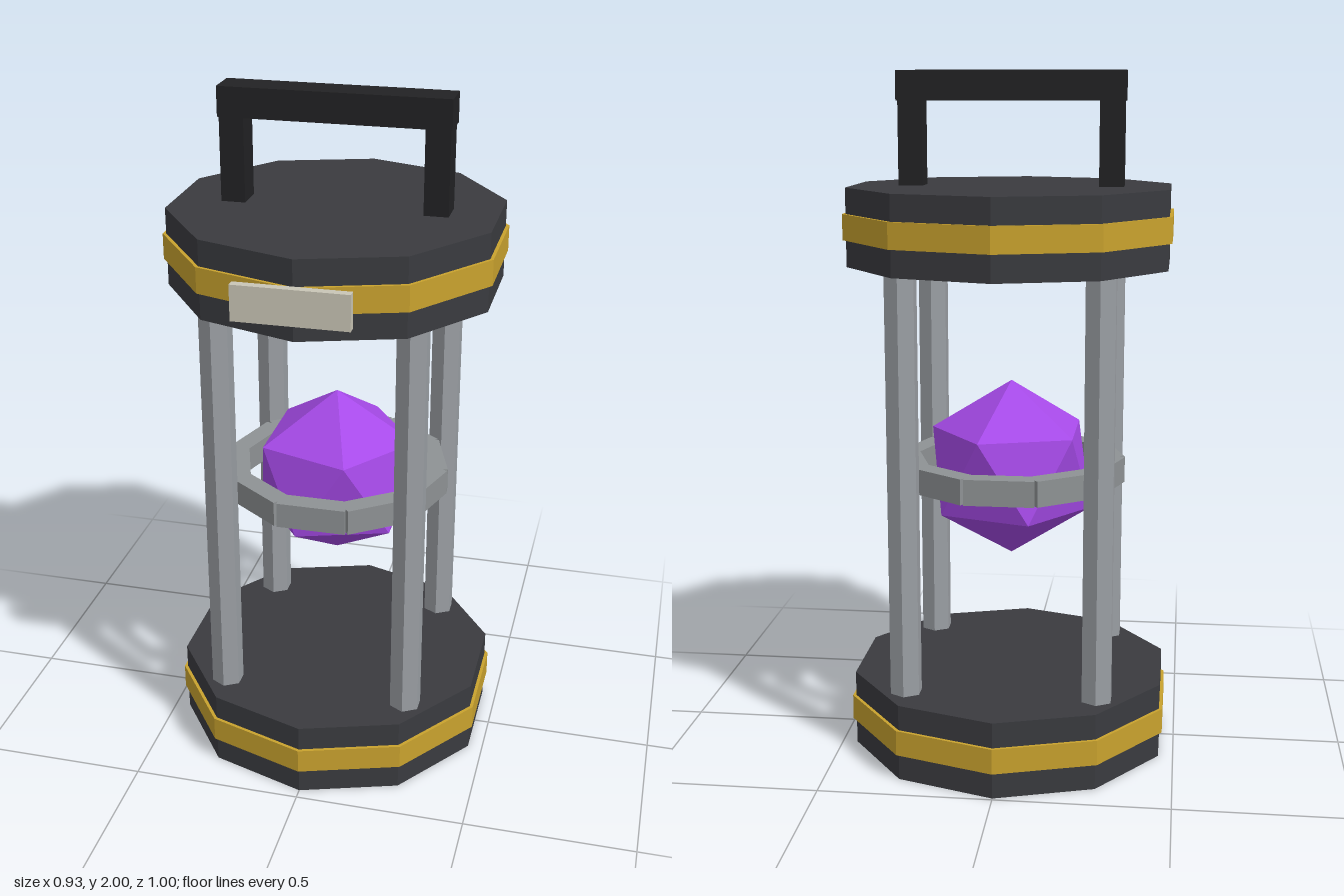
import * as THREE from 'three';

const mat = (color) => new THREE.MeshStandardMaterial({ color, flatShading: true });

export function createModel() {
  const model = new THREE.Group();
  const lantern = new THREE.Group();
  lantern.name = 'lantern';
  lantern.position.z = -0.012; // the name plate sticks out at the front
  model.add(lantern);

  const dark = mat(0x3a3b3f);
  const black = mat(0x222224);
  const gold = mat(0xc9a22e);
  const steel = mat(0x9b9fa4);
  const ringGrey = mat(0x8e9294);
  const ivory = mat(0xc9c5b6);
  const purple = mat(0xa64ae8);

  const add = (name, geometry, material, x = 0, y = 0, z = 0, parent = lantern) => {
    const mesh = new THREE.Mesh(geometry, material);
    mesh.name = name;
    mesh.position.set(x, y, z);
    parent.add(mesh);
    return mesh;
  };

  // Ten-sided base and cap, each with a gold band
  for (const [name, y] of [['base', 0], ['cap', 1.45]]) {
    add(name, new THREE.CylinderGeometry(0.48, 0.48, 0.225, 10), dark, 0, y + 0.1125);
    add(name + 'Band', new THREE.CylinderGeometry(0.49, 0.49, 0.074, 10), gold, 0, y + 0.114);
  }

  // Four hexagonal rods
  for (const x of [-0.278, 0.278]) {
    for (const z of [-0.278, 0.278]) {
      add('rod', new THREE.CylinderGeometry(0.048, 0.048, 1.27, 6), steel, x, 0.835, z);
    }
  }

  // Crystal standing on one point
  const crystal = new THREE.IcosahedronGeometry(0.265, 0);
  crystal.rotateZ(-Math.atan(2 / (1 + Math.sqrt(5))));
  add('crystal', crystal, purple, 0, 0.84);

  // Ring of ten blocks around the crystal
  const ring = new THREE.Group();
  ring.name = 'ring';
  ring.position.y = 0.842;
  lantern.add(ring);
  for (let i = 0; i < 10; i++) {
    const a = (i / 10) * Math.PI * 2;
    const block = add('ringBlock', new THREE.BoxGeometry(0.2, 0.075, 0.06), ringGrey,
      Math.sin(a) * 0.293, 0, Math.cos(a) * 0.293, ring);
    block.rotation.y = a;
  }

  // Carrying handle
  for (const side of [-1, 1]) {
    add('handlePost', new THREE.BoxGeometry(0.07, 0.28, 0.085), black, side * 0.289, 1.8, 0.006);
  }
  add('handleBar', new THREE.BoxGeometry(0.655, 0.085, 0.1), black, 0, 1.9575, 0.003);

  // Plain plate on the front of the cap
  add('frontPlate', new THREE.BoxGeometry(0.32, 0.1, 0.025), ivory, 0, 1.555, 0.4995);

  return model;
}
